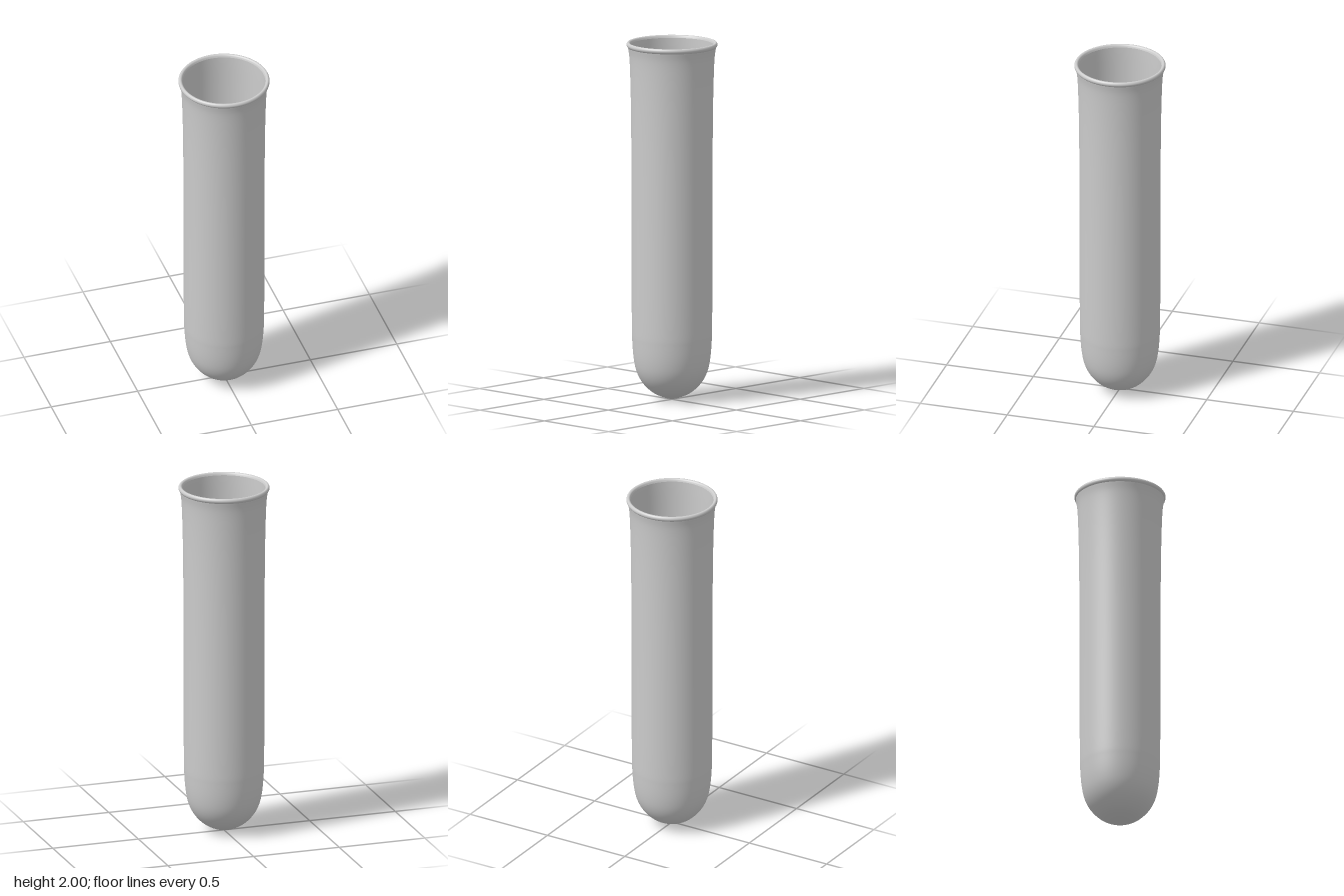
import * as THREE from 'three';

const SEGMENTS = 96;

// Smooth curve through a few [radius, height] points
function smooth(points, steps) {
  return new THREE.SplineCurve(points.map(([r, y]) => new THREE.Vector2(r, y)))
    .getPoints(steps)
    .map((p) => new THREE.Vector2(Math.max(p.x, 0), p.y));
}

function lathe(name, profile, material) {
  const mesh = new THREE.Mesh(new THREE.LatheGeometry(profile, SEGMENTS), material);
  mesh.name = name;
  return mesh;
}

export function createModel() {
  const group = new THREE.Group();
  group.name = 'testTube';
  const material = new THREE.MeshStandardMaterial({ color: 0xcccccc, side: THREE.DoubleSide });

  // Outer wall: rounded bottom, nearly straight body, flared neck
  const outer = smooth([
    [0, 0], [0.06, 0.018], [0.115, 0.047], [0.162, 0.094], [0.193, 0.15], [0.21, 0.22],
    [0.219, 0.32], [0.222, 0.45], [0.223, 1.0], [0.2245, 1.4], [0.227, 1.65],
    [0.231, 1.82], [0.236, 1.92], [0.244, 1.972],
  ], 90);
  group.add(lathe('outerWall', outer, material));

  // Rounded lip rolled over the mouth
  const lip = smooth([
    [0.244, 1.972], [0.25, 1.979], [0.252, 1.988], [0.248, 1.997],
    [0.241, 2.0], [0.233, 1.996], [0.228, 1.985],
  ], 24);
  group.add(lathe('lip', lip, material));

  // Inner wall, narrowing slightly and turning through a fillet into a flat surface
  const inner = smooth([
    [0.228, 1.985], [0.2265, 1.92], [0.225, 1.8], [0.2225, 1.6], [0.221, 1.3], [0.22, 1.02],
  ], 40);
  const fillet = smooth([[0.22, 1.02], [0.219, 1.008], [0.216, 1.002], [0.21, 1.0]], 10);
  group.add(lathe('innerWall', [...inner, ...fillet.slice(1)], material));

  // Flat surface inside the tube
  const floor = new THREE.Mesh(new THREE.CircleGeometry(0.21, SEGMENTS), material);
  floor.name = 'innerFloor';
  floor.rotation.x = -Math.PI / 2;
  floor.position.y = 1.0;
  group.add(floor);

  return group;
}
